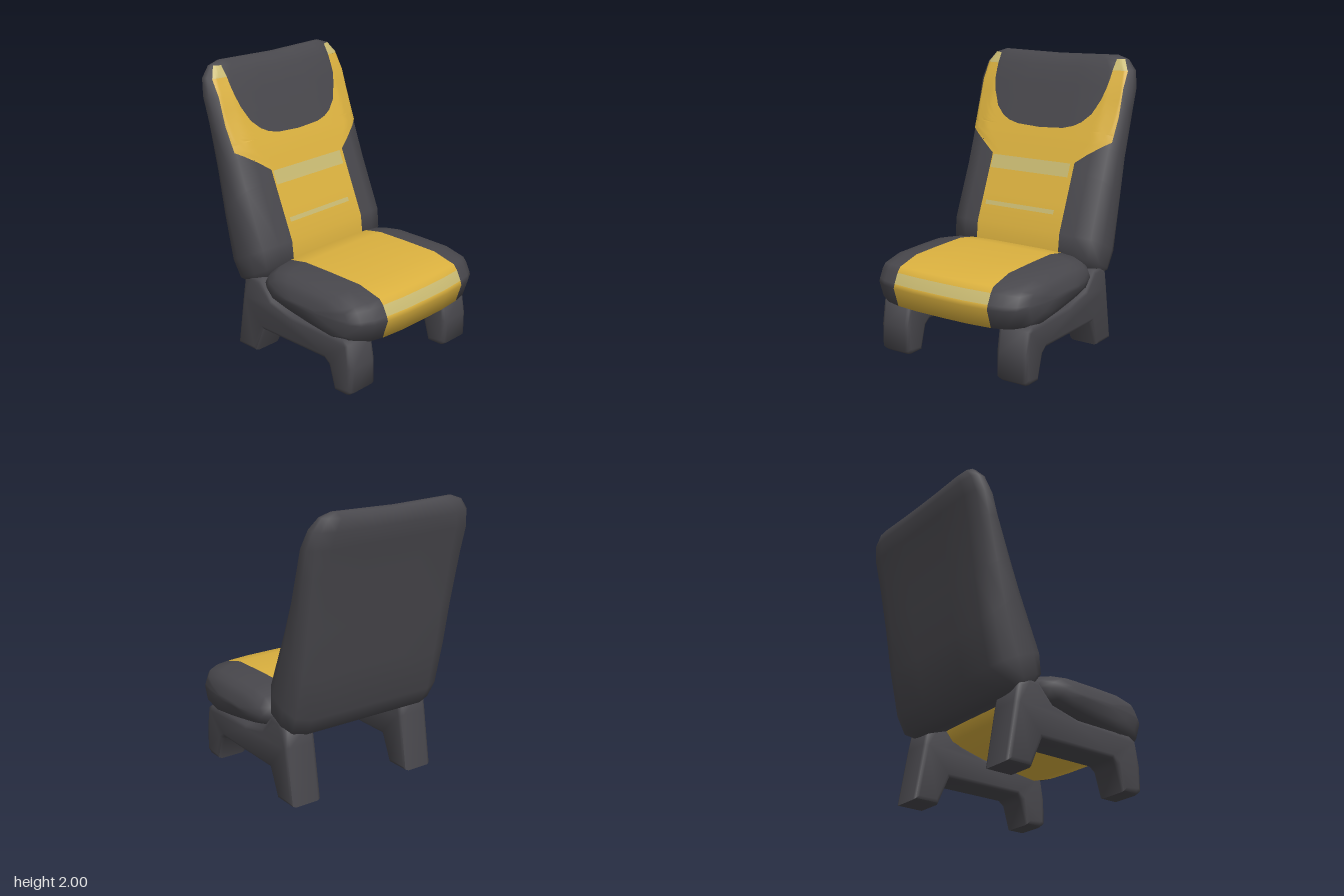
import * as THREE from 'three';
import { mergeVertices, toCreasedNormals } from 'three/addons/utils/BufferGeometryUtils.js';

const material = (name, color) => Object.assign(new THREE.MeshStandardMaterial({ color }), { name });
const lerp = THREE.MathUtils.lerp;

// piecewise-linear lookup: table rows are [key, value]
function lookup(table, k) {
  if (k <= table[0][0]) return table[0][1];
  for (let i = 1; i < table.length; i++) {
    const [k0, v0] = table[i - 1], [k1, v1] = table[i];
    if (k <= k1) return lerp(v0, v1, (k - k0) / (k1 - k0));
  }
  return table[table.length - 1][1];
}

// skin between rings of points; closed skins get end caps, slot() picks the material
function loft(rings, closed, slot = () => 0) {
  const n = rings[0].length, pos = rings.flat(2), lists = [[], [], []];
  const cols = closed ? n : n - 1;
  for (let i = 0; i < rings.length - 1; i++) {
    for (let j = 0; j < cols; j++) {
      const k = (j + 1) % n, a = i * n + j, b = i * n + k, c = b + n, d = a + n;
      lists[slot(i, j)].push(a, d, c, a, c, b);
    }
  }
  if (closed) {
    [0, rings.length - 1].forEach((i) => {
      const ring = rings[i], id = pos.length / 3;
      for (let c = 0; c < 3; c++) pos.push(ring.reduce((s, p) => s + p[c], 0) / n);
      for (let j = 0; j < n; j++) {
        const a = i * n + j, b = i * n + ((j + 1) % n);
        lists[0].push(id, ...(i ? [b, a] : [a, b]));
      }
    });
  }
  const g = new THREE.BufferGeometry();
  g.setAttribute('position', new THREE.Float32BufferAttribute(pos, 3));
  g.setIndex(lists.flat());
  let start = 0;
  lists.forEach((l, m) => {
    if (l.length) g.addGroup(start, l.length, m);
    start += l.length;
  });
  g.computeVertexNormals();
  return g;
}

// backrest levels: front z, front y, back z, back y, half width, dip of the middle
const LEVELS = [
  [-0.23, 0.53, -0.40, 0.47, 0.55, 0],
  [-0.15, 0.66, -0.475, 0.50, 0.615, 0],
  [-0.165, 0.80, -0.54, 0.62, 0.625, 0],
  [-0.33, 1.20, -0.605, 0.92, 0.62, 0],
  [-0.41, 1.40, -0.66, 1.25, 0.62, 0],
  [-0.52, 1.65, -0.72, 1.60, 0.63, 0],
  [-0.57, 1.78, -0.76, 1.78, 0.635, 0],
  [-0.63, 1.91, -0.78, 1.89, 0.61, 0.005],
  [-0.67, 1.975, -0.77, 1.97, 0.55, 0.015],
  [-0.70, 2.0, -0.74, 2.0, 0.47, 0.02],
];
const FRONT_CURVE = [[0, 0], [0.74, 0], [0.92, 0.1], [1, 0.33]];

// point on a backrest level: u across, v from front to back
const restPoint = ([zf, yf, zb, yb, w, dip], u, v) =>
  [u * w, lerp(yf, yb, v) - dip * (1 - u * u), lerp(zf, zb, v)];

// level interpolated at a front height
const levelAt = (y) => LEVELS[0].map((_, c) => lookup(LEVELS.map((l) => [l[1], l[c]]), y));

// thin panel lying on the front of the backrest between two x limits per height
function panel(ys, left, right, lift, cols = 12) {
  return loft(ys.map((y) => {
    const level = levelAt(y), row = [];
    for (let j = 0; j <= cols; j++) {
      const u = THREE.MathUtils.clamp(lerp(right(y), left(y), j / cols) / level[4], -1, 1);
      const p = restPoint(level, u, lookup(FRONT_CURVE, Math.abs(u)));
      row.push([p[0] + u * 0.003, p[1] + lift * 0.4, p[2] + lift]);
    }
    return row;
  }), false);
}

export function createModel() {
  const dark = material('charcoal upholstery', 0x48474c);
  const yellow = material('yellow fabric', 0xdbb13f);
  const pale = material('pale trim', 0xc9ba72);
  const model = new THREE.Group();
  model.name = 'seat';
  const add = (name, geometry, mat) => {
    const mesh = new THREE.Mesh(geometry, mat);
    mesh.name = name;
    model.add(mesh);
    return mesh;
  };

  // cushion: side profile (z, y) scaled towards both ends
  const profile = [
    [0.775, 0.52], [0.765, 0.55], [0.73, 0.62], [0.70, 0.655], [0.52, 0.70], [0.25, 0.705], [0, 0.705],
    [-0.15, 0.68], [-0.24, 0.62], [-0.28, 0.55], [-0.2, 0.46], [0, 0.41], [0.3, 0.36], [0.55, 0.33], [0.73, 0.385],
  ];
  const half = [
    [0, 1, 1], [0.2, 0.995, 1], [0.38, 0.965, 0.99], [0.48, 0.93, 0.95],
    [0.56, 0.85, 0.84], [0.61, 0.72, 0.67], [0.635, 0.52, 0.4], [0.65, 0.28, 0.1],
  ];
  const stations = [...half.slice(1).reverse().map(([x, a, b]) => [-x, a, b]), ...half];
  const cushion = stations.map(([x, sz, sy]) =>
    profile.map(([z, y]) => [x, 0.54 + (y - 0.54) * sy, 0.22 + (z - 0.22) * sz]));
  const stripe = (i) => Math.abs(stations[i][0] + stations[i + 1][0]) / 2 < 0.38;
  add('seatCushion', loft(cushion, true, (i, j) => (!stripe(i) ? 0 : j === 1 ? 2 : 1)), [dark, yellow, pale]);

  // backrest: rounded rectangular levels stacked along the lean
  const right = [[1, 0.33], [0.92, 0.1], [0.74, 0], [0.35, 0]];
  const back = [[0.35, 1], [0.78, 1], [0.94, 0.9], [1, 0.66]];
  const mirror = (pts) => pts.map(([u, v]) => [-u, v]).reverse();
  const outline = [...right, [0, 0], ...mirror(right), ...mirror(back), [0, 1], ...back];
  add('backrest', loft(LEVELS.map((l) => outline.map(([u, v]) => restPoint(l, u, v))), true), dark);

  // yellow backrest panel: lower part, then two arms around the headrest
  const outer = (y) => lookup([[1.27, 0.345], [1.44, 0.58], [1.6, 0.59], [1.9, 0.585], [1.975, 0.54]], y);
  const inner = (y) => lookup([[1.48, 0], [1.49, 0.19], [1.51, 0.27], [1.54, 0.33], [1.6, 0.395],
    [1.7, 0.445], [1.8, 0.475], [1.975, 0.485]], y);
  add('backrestPanel', panel([0.66, 0.8, 1.0, 1.2, 1.27, 1.33, 1.4, 1.44, 1.48],
    (y) => -outer(y), outer, 0.006, 40), yellow);
  const armRows = [1.48, 1.49, 1.51, 1.54, 1.6, 1.65, 1.7, 1.78, 1.85, 1.9];
  const tipRows = [1.9, 1.91, 1.94, 1.975];
  for (const s of [1, -1]) {
    const lo = (y) => (s > 0 ? inner(y) : -outer(y));
    const hi = (y) => (s > 0 ? outer(y) : -inner(y));
    const side = s > 0 ? 'left' : 'right';
    add(side + 'PanelArm', panel(armRows, lo, hi, 0.006, 20), yellow);
    add(side + 'PanelTip', panel(tipRows, lo, hi, 0.006), pale);
  }

  // pale stripes across the backrest panel
  add('upperStripe', panel([1.17, 1.2, 1.262], () => -0.335, () => 0.315, 0.009), pale);
  add('lowerStripe', panel([0.918, 0.947], () => -0.31, () => 0.265, 0.009), pale);

  // side frames: front and rear leg joined by a rail
  const legShape = new THREE.Shape([
    [0.6, 0], [0.48, 0], [0.43, 0.17], [0.39, 0.2], [-0.2, 0.195], [-0.285, 0], [-0.475, 0], [-0.41, 0.4],
    [-0.385, 0.53], [-0.31, 0.575], [-0.22, 0.57], [-0.11, 0.45], [0.1, 0.4], [0.56, 0.4], [0.61, 0.37],
    [0.64, 0.2], [0.64, 0.03],
  ].map(([z, y]) => new THREE.Vector2(z, y)));
  const bevel = 0.03, width = 0.235;
  let leg = new THREE.ExtrudeGeometry(legShape, {
    depth: width - 2 * bevel, bevelEnabled: true, bevelThickness: bevel,
    bevelSize: bevel, bevelOffset: -bevel, bevelSegments: 2,
  });
  leg.deleteAttribute('uv');
  leg.deleteAttribute('normal');
  leg = toCreasedNormals(mergeVertices(leg), 1.0);
  leg.rotateY(-Math.PI / 2);
  leg.translate(width / 2 - bevel, 0, 0);
  for (const s of [1, -1]) {
    add(s > 0 ? 'leftLegFrame' : 'rightLegFrame', leg, dark).position.x = s * 0.482;
  }
  return model;
}
